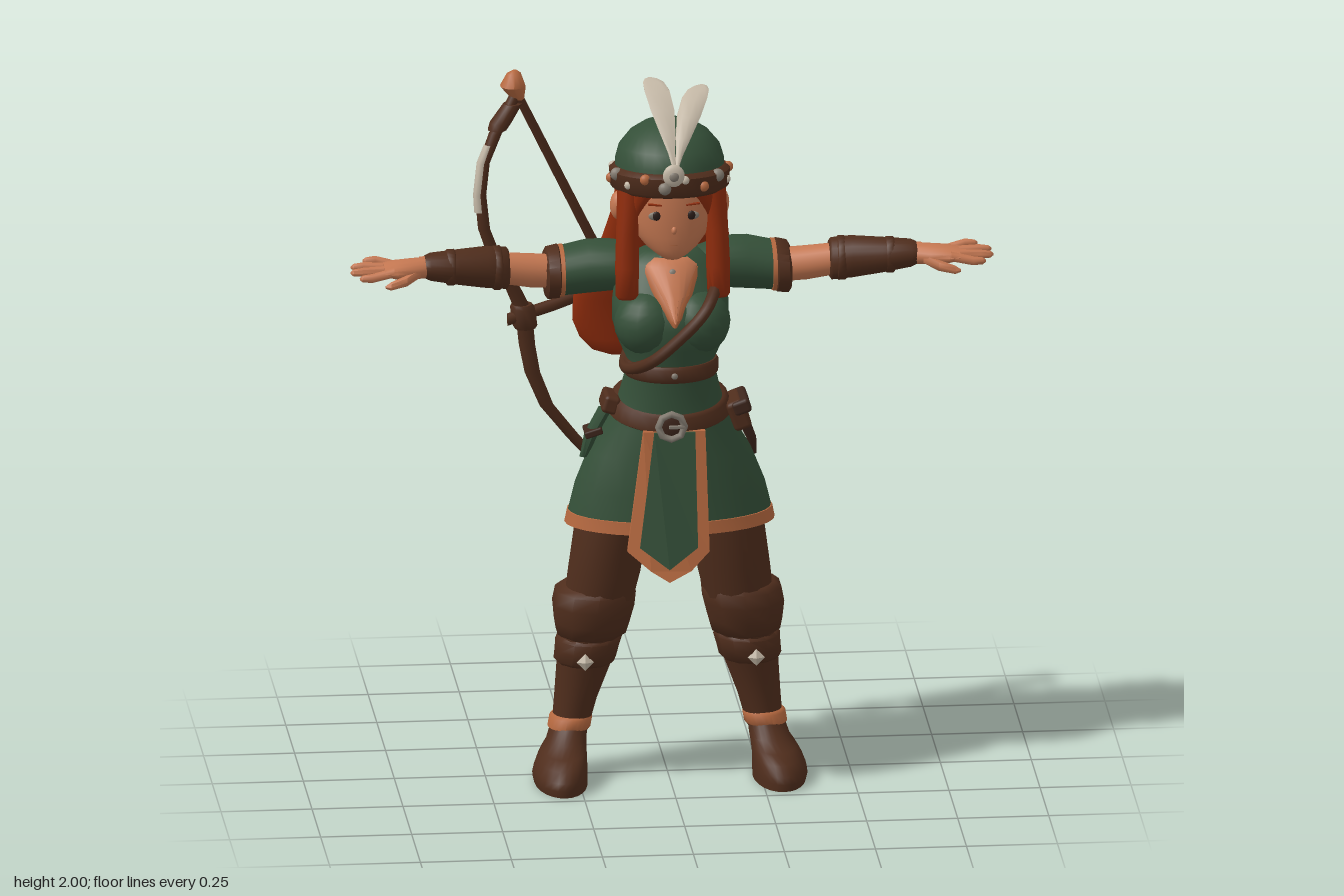
import * as THREE from 'three';
import { toCreasedNormals } from 'three/addons/utils/BufferGeometryUtils.js';
import { RoundedBoxGeometry } from 'three/addons/geometries/RoundedBoxGeometry.js';

const COLORS = {
  green: 0x344f38, brown: 0x4f2d1c, darkBrown: 0x3e261c, tan: 0xb5683f,
  skin: 0xc57852, hair: 0x8f2c0c, cream: 0xc4b8a6, grey: 0x857d72, dark: 0x2a1c18,
};

// Closed tube through elliptical sections [along, c1, c2, r1, r2]; axis 'y': c=(x,z), axis 'x': c=(y,z)
function loft(rows, axis = 'y', seg = 24) {
  const pos = [], idx = [];
  const ring = ([h, c1, c2, r1, r2 = r1]) => {
    const start = pos.length / 3;
    for (let i = 0; i < seg; i++) {
      const t = (i / seg) * Math.PI * 2, s = Math.sin(t), c = Math.cos(t);
      if (axis === 'y') pos.push(c1 + r1 * s, h, c2 + r2 * c);
      else pos.push(h, c1 + r1 * c, c2 + r2 * s);
    }
    return start;
  };
  const starts = rows.map(ring);
  for (let k = 0; k < rows.length - 1; k++) for (let i = 0; i < seg; i++) {
    const j = (i + 1) % seg, a = starts[k], b = starts[k + 1];
    idx.push(a + i, a + j, b + i, a + j, b + j, b + i);
  }
  for (const [row, end] of [[rows[0], false], [rows[rows.length - 1], true]]) {
    const s = ring(row), c = pos.length / 3;
    if (axis === 'y') pos.push(row[1], row[0], row[2]); else pos.push(row[0], row[1], row[2]);
    for (let i = 0; i < seg; i++) {
      const j = (i + 1) % seg;
      if (end) idx.push(s + i, s + j, c); else idx.push(s + j, s + i, c);
    }
  }
  const g = new THREE.BufferGeometry();
  g.setAttribute('position', new THREE.Float32BufferAttribute(pos, 3));
  g.setIndex(idx);
  g.computeVertexNormals();
  return toCreasedNormals(g, 0.9);
}

// Flat outline with thickness, bent by a rule for z
function plate(points, depth, rule) {
  const g = new THREE.ExtrudeGeometry(new THREE.Shape(points.map(p => new THREE.Vector2(...p))), { depth, bevelEnabled: false });
  const p = g.attributes.position;
  for (let i = 0; i < p.count; i++) p.setZ(i, p.getZ(i) + rule(p.getX(i), p.getY(i)));
  g.computeVertexNormals();
  return g;
}

const ball = (x, y, z, rx, ry = rx, rz = rx) => new THREE.SphereGeometry(1, 16, 12).scale(rx, ry, rz).translate(x, y, z);
const box = (x, y, z, w, h, d, rz = 0) => new RoundedBoxGeometry(w, h, d, 2, Math.min(w, h, d) * 0.25).rotateZ(rz).translate(x, y, z);
const tilt = (g, a, y, z) => g.translate(0, -y, -z).rotateX(a).translate(0, y, z);

// Mirror across x, keeping faces outward
function mirror(geo) {
  const g = (geo.index ? geo.toNonIndexed() : geo.clone()).scale(-1, 1, 1);
  for (const a of Object.values(g.attributes)) for (let i = 0; i < a.count; i += 3) for (let k = 0; k < a.itemSize; k++) {
    const v = a.getComponent(i, k);
    a.setComponent(i, k, a.getComponent(i + 1, k));
    a.setComponent(i + 1, k, v);
  }
  return g;
}

export function createModel() {
  const model = new THREE.Group();
  model.name = 'archer';
  const mats = {};
  for (const [name, color] of Object.entries(COLORS)) {
    mats[name] = new THREE.MeshStandardMaterial({ color });
    mats[name].name = name;
  }
  const add = (name, mat, geo) => {
    const m = new THREE.Mesh(geo, mats[mat]);
    m.name = name;
    model.add(m);
  };
  const pair = (name, mat, geo) => { add(name + 'Left', mat, geo); add(name + 'Right', mat, mirror(geo)); };

  // Tunic: bodice and hollow skirt
  add('bodice', 'green', loft([[1.17, 0, .095, .12, .105], [1.22, 0, .095, .12, .107], [1.27, 0, .095, .142, .122], [1.33, 0, .09, .16, .134],
    [1.38, 0, .08, .16, .13], [1.43, 0, .06, .152, .106], [1.49, 0, .045, .13, .085], [1.52, 0, .05, .07, .06]], 'y', 32));
  pair('bust', 'green', ball(.07, 1.335, .14, .09, .09, .09));
  add('skirt', 'green', loft([[.95, 0, .06, .19, .125], [.78, 0, .06, .26, .14], [.78, 0, .06, .279, .157], [.85, 0, .06, .262, .153],
    [.95, 0, .06, .222, .148], [1.03, 0, .062, .175, .14], [1.12, 0, .075, .138, .12], [1.2, 0, .095, .12, .105]], 'y', 32));
  add('skirtHem', 'tan', loft([[.785, 0, .06, .255, .137], [.745, 0, .06, .265, .144], [.745, 0, .06, .289, .163], [.78, 0, .06, .282, .16], [.784, 0, .06, .26, .14]], 'y', 32));

  // Neckline
  add('necklineTrim', 'tan', loft([[1.345, 0, .185, .01, .05], [1.365, 0, .187, .024, .05], [1.42, 0, .145, .06, .05], [1.485, 0, .088, .093, .05]]));
  add('chest', 'skin', loft([[1.36, 0, .195, .006, .05], [1.42, 0, .153, .044, .05], [1.49, 0, .094, .08, .05], [1.51, 0, .075, .06, .05]]));
  add('neck', 'skin', loft([[1.45, 0, .065, .058], [1.5, 0, .065, .048], [1.58, 0, .075, .048]]));
  add('choker', 'darkBrown', loft([[1.485, 0, .066, .054], [1.512, 0, .066, .053]]));
  add('pendant', 'grey', ball(0, 1.472, .148, .012, .016, .008));

  // Front panel of the skirt
  const frontZ = (x, y) => .2 + (1.05 - y) * .155 - x * x * 1.5;
  add('frontPanelTrim', 'tan', plate([[-.085, 1.04], [-.132, .71], [-.07, .66], [-.02, .63], [.04, .66], [.092, .71], [.085, 1.04]], .018, frontZ));
  add('frontPanel', 'green', plate([[-.056, 1.04], [-.099, .724], [-.02, .666], [.059, .724], [.056, 1.04]], .009, (x, y) => frontZ(x, y) + .014));

  // Back panel: a padded leaf with a stitched rim
  const leaf = (w, d, cut) => loft([[.56 + cut, .052, -.128, .012, .004], [.575 + cut, .052, -.128, .03 - cut, d], [.63, .047, -.125, .046 - w, d],
    [.73, .04, -.122, .056 - w, d], [.85, .036, -.117, .052 - w, d], [.97, .032, -.108, .04 - w, d], [1.08, .03, -.09, .03 - w, d]], 'y', 16);
  add('backPanelRim', 'brown', leaf(0, .011, 0));
  add('backPanel', 'green', leaf(.012, .018, .014));

  // Belts, straps and pouches
  add('waistBelt', 'brown', loft([[1.177, 0, .095, .126, .112], [1.185, 0, .095, .131, .118], [1.215, 0, .095, .131, .118], [1.223, 0, .095, .126, .112]], 'y', 32));
  add('waistStud', 'grey', ball(0, 1.2, .212, .009, .009, .006));
  add('hipBelt', 'brown', tilt(loft([[1.06, 0, .062, .166, .147], [1.066, 0, .062, .172, .153], [1.104, 0, .066, .16, .143], [1.112, 0, .066, .15, .135]], 'y', 32), .2, 1.09, .06));
  add('buckle', 'grey', new THREE.TorusGeometry(.036, .01, 6, 8).translate(-.01, 1.06, .226));
  add('buckleCentre', 'darkBrown', ball(-.01, 1.06, .222, .032, .032, .008));
  add('buckleTongue', 'grey', box(.005, 1.06, .23, .045, .01, .01));
  const sash = new THREE.CatmullRomCurve3([[.13, 1.47, .1], [.085, 1.39, .222], [0, 1.3, .229], [-.07, 1.235, .2], [-.125, 1.2, .11],
    [-.08, 1.26, -.015], [.04, 1.4, -.055], [.12, 1.5, .03]].map(p => new THREE.Vector3(...p)), true);
  add('shoulderStrap', 'brown', new THREE.TubeGeometry(sash, 60, .017, 8, true));
  add('pouch', 'brown', box(.185, 1.055, .075, .05, .085, .12, .35));
  add('pouchFlap', 'darkBrown', box(.192, 1.08, .075, .05, .04, .13, .35));
  add('pouchFringe', 'darkBrown', loft([[.92, .235, .045, .006], [.97, .225, .055, .014, .022], [1.03, .2, .06, .018, .045]], 'y', 8));
  add('sheath', 'green', loft([[.93, -.235, .06, .012], [1.0, -.215, .07, .02, .032], [1.07, -.18, .08, .02, .036]], 'y', 8));
  add('sheathRing', 'darkBrown', box(-.212, 1.01, .075, .05, .02, .075, .3));
  add('hipKnot', 'brown', box(-.165, 1.09, .07, .045, .05, .1, -.3));

  // Head and face
  add('head', 'skin', loft([[1.522, 0, .15, .022, .02], [1.535, 0, .14, .045, .045], [1.555, 0, .125, .072, .068], [1.59, 0, .105, .102, .092],
    [1.63, 0, .09, .122, .11], [1.7, 0, .08, .128, .12], [1.78, 0, .07, .125, .12], [1.82, 0, .07, .1, .1]], 'y', 32));
  pair('ear', 'skin', ball(.142, 1.65, .065, .022, .04, .028));
  add('nose', 'skin', ball(0, 1.615, .195, .008, .012, .012));
  add('mouth', 'tan', ball(0, 1.572, .19, .018, .003, .005));
  pair('eyeWhite', 'grey', ball(.05, 1.655, .189, .02, .012, .006));
  pair('iris', 'dark', ball(.048, 1.656, .193, .011, .013, .005));
  pair('brow', 'hair', box(.052, 1.688, .192, .038, .005, .008, .1));

  // Hair
  add('backHair', 'hair', loft([[1.16, -.12, -.135, .03, .015], [1.175, -.12, -.137, .075, .035], [1.21, -.108, -.138, .12, .045], [1.26, -.088, -.137, .16, .053],
    [1.33, -.06, -.125, .187, .065], [1.42, -.025, -.095, .192, .078], [1.52, 0, -.055, .175, .085], [1.62, 0, -.012, .15, .09],
    [1.72, 0, .03, .143, .12], [1.8, 0, .045, .125, .12]], 'y', 32));
  pair('sideLock', 'hair', loft([[1.41, .126, .16, .024, .014], [1.42, .126, .16, .031, .024], [1.5, .125, .152, .033, .03], [1.6, .123, .14, .031, .035], [1.74, .112, .115, .036, .055]], 'y', 12));
  pair('fringe', 'hair', loft([[1.64, .1, .15, .006], [1.68, .09, .16, .018], [1.74, .065, .172, .045, .03]], 'y', 10));

  // Cap, beaded brim and feathers
  add('cap', 'green', tilt(loft([[1.72, 0, .065, .15, .16], [1.78, 0, .065, .15, .16], [1.82, 0, .06, .138, .147], [1.855, 0, .055, .108, .117],
    [1.878, 0, .05, .07, .075], [1.89, 0, .05, .02, .02]], 'y', 32), -.08, 1.74, .065));
  add('brim', 'brown', tilt(loft([[1.7, 0, .065, .15, .16], [1.71, 0, .065, .163, .172], [1.755, 0, .065, .166, .175], [1.768, 0, .065, .15, .16]], 'y', 32), -.1, 1.74, .065));
  for (let i = 0; i < 18; i++) {
    const t = (i / 18) * Math.PI * 2 + .17, r = .012 + .003 * ((i * 7) % 3);
    add('brimBead', ['cream', 'tan', 'grey'][i % 3], tilt(ball(.16 * Math.sin(t), 1.752 - .022 * (i % 2), .065 + .17 * Math.cos(t), r, r, r * .8), -.1, 1.74, .065));
  }
  add('badge', 'cream', ball(-.005, 1.785, .238, .03, .032, .014));
  add('badgeStone', 'grey', ball(-.005, 1.785, .248, .014, .014, .008));
  const feather = (x, top, z, thick) => loft([[0, .004], [.15, .01], [.3, .022], [.5, .034], [.72, .036], [.86, .03], [.95, .018], [1, .004]]
    .map(([t, w]) => [1.79 + (top - 1.79) * Math.sin(t * Math.PI / 2), x * t, .235 + (z - .235) * t, w, thick * w + .003]), 'y', 10);
  add('featherRight', 'cream', feather(-.05, 2, .02, .1));
  add('featherLeft', 'cream', feather(.095, 1.97, .005, .4));

  // Arms, sleeves, bracers and hands
  pair('sleeve', 'green', loft([[.08, 1.455, .02, .06, .075], [.14, 1.462, .005, .07, .085], [.22, 1.455, -.008, .073, .088], [.3, 1.442, -.01, .067, .086]], 'x'));
  pair('sleevePiping', 'tan', loft([[.284, 1.444, -.01, .066, .084], [.286, 1.444, -.01, .071, .09], [.297, 1.443, -.01, .071, .09]], 'x'));
  pair('sleeveCuff', 'brown', loft([[.296, 1.442, -.01, .066, .088], [.3, 1.442, -.01, .073, .094], [.33, 1.438, -.008, .071, .091], [.337, 1.437, -.008, .06, .08]], 'x'));
  pair('arm', 'skin', loft([[.28, 1.445, .005, .047], [.38, 1.457, .025, .047], [.48, 1.475, .045, .043], [.6, 1.49, .075, .036], [.69, 1.497, .095, .03]], 'x', 16));
  pair('bracer', 'brown', loft([[.44, 1.472, .042, .05], [.446, 1.472, .043, .058], [.5, 1.48, .055, .058], [.58, 1.488, .073, .049, .052], [.66, 1.497, .091, .038, .046], [.675, 1.498, .094, .031, .038]], 'x'));
  for (const [x, y, z, r] of [[.47, 1.475, .048, .061], [.6, 1.49, .078, .05]])
    pair('bracerStrap', 'brown', loft([[x - .01, y, z, r - .004], [x - .006, y, z, r], [x + .012, y, z, r], [x + .016, y, z, r - .004]], 'x'));
  pair('palm', 'skin', loft([[.66, 1.497, .094, .028, .032], [.71, 1.498, .108, .028, .045], [.76, 1.5, .117, .023, .052], [.79, 1.502, .12, .015, .048]], 'x', 16));
  [[.075, .845, 1.515], [.104, .88, 1.507], [.132, .883, 1.5], [.158, .86, 1.49]].forEach(([z, end, y]) =>
    pair('finger', 'skin', loft([[.765, 1.503, .117 + (z - .117) * .9, .014], [end - .035, y, z, .013], [end - .008, y, z + .003, .01], [end, y, z + .003, .003]], 'x', 8)));
  pair('thumb', 'skin', loft([[.69, 1.495, .125, .017], [.73, 1.48, .158, .016], [.775, 1.47, .172, .012], [.79, 1.468, .174, .004]], 'x', 8));

  // Legs and boots
  pair('thigh', 'brown', loft([[.44, .205, .025, .09, .095], [.6, .178, .048, .1, .104], [.75, .157, .055, .101, .108], [.95, .11, .06, .1, .11]]));
  pair('kneeCuff', 'brown', loft([[.405, .212, .012, .085, .09], [.415, .212, .015, .098, .108], [.45, .21, .02, .106, .116], [.5, .206, .025, .115, .125], [.54, .2, .027, .113, .122], [.555, .196, .03, .098, .108]], 'y', 10));
  pair('shinCuff', 'brown', loft([[.325, .227, .002, .076, .08], [.335, .227, .002, .086, .095], [.365, .222, .004, .088, .099], [.395, .217, .008, .092, .1], [.405, .215, .01, .085, .09]], 'y', 12));
  pair('shinStud', 'cream', new THREE.OctahedronGeometry(.024).scale(1, 1, .5).translate(.235, .35, .101));
  pair('shin', 'brown', loft([[.13, .268, -.003, .05, .058], [.22, .252, -.005, .059, .066], [.33, .228, 0, .076, .08], [.42, .212, .015, .085, .09]]));
  pair('ankleBand', 'tan', loft([[.133, .27, -.002, .052, .06], [.139, .27, -.002, .059, .067], [.168, .265, -.002, .059, .067], [.176, .264, -.002, .052, .06]]));
  pair('boot', 'brown', loft([[0, .3, .073, .072, .15], [.02, .302, .073, .075, .153], [.04, .3, .072, .073, .15], [.065, .295, .062, .068, .135], [.085, .288, .042, .062, .112], [.105, .279, .014, .055, .08], [.15, .269, 0, .05, .06]]));

  // Bow: all parts lie in one slanted upright plane behind the body
  const inPlane = ([y, x, r]) => [y, x, -.233 - .333 * x, r, r];
  const bowPart = (name, mat, rows) => add(name, mat, loft(rows.map(inPlane), 'y', 10));
  bowPart('bowLimb', 'brown', [[.695, -.05, .008], [.71, -.06, .022], [.75, -.1, .02], [.83, -.17, .019], [.92, -.245, .019], [1.02, -.32, .02], [1.12, -.36, .022],
    [1.2, -.375, .023], [1.3, -.385, .024], [1.38, -.42, .021], [1.46, -.465, .019], [1.55, -.497, .017], [1.65, -.507, .016], [1.74, -.497, .016], [1.82, -.465, .018], [1.88, -.43, .018], [1.93, -.405, .016]]);
  bowPart('limbInlay', 'cream', [[1.6, -.51, .015], [1.65, -.513, .015], [1.74, -.503, .015], [1.79, -.482, .015]]);
  bowPart('limbCollar', 'brown', [[1.83, -.46, .026], [1.85, -.45, .03], [1.9, -.415, .026]]);
  bowPart('bowStaff', 'brown', [[.85, .113, .01], [.865, .108, .022], [.95, .07, .019], [1.35, -.13, .016], [1.94, -.41, .014]]);
  bowPart('staffGrip', 'brown', [[1.31, -.11, .023], [1.33, -.12, .028], [1.37, -.14, .028], [1.39, -.15, .023]]);
  bowPart('bowGrip', 'brown', [[1.25, -.381, .029], [1.26, -.381, .035], [1.31, -.388, .035], [1.32, -.39, .029]]);
  bowPart('bowTip', 'tan', [[1.91, -.4, .016], [1.95, -.415, .036], [1.985, -.412, .02], [1.994, -.41, .006]]);
  add('bowBrace', 'brown', loft([[-.43, 1.28, -.09, .018], [-.3, 1.305, -.133, .018], [-.13, 1.345, -.19, .016]], 'x', 10));
  return model;
}
